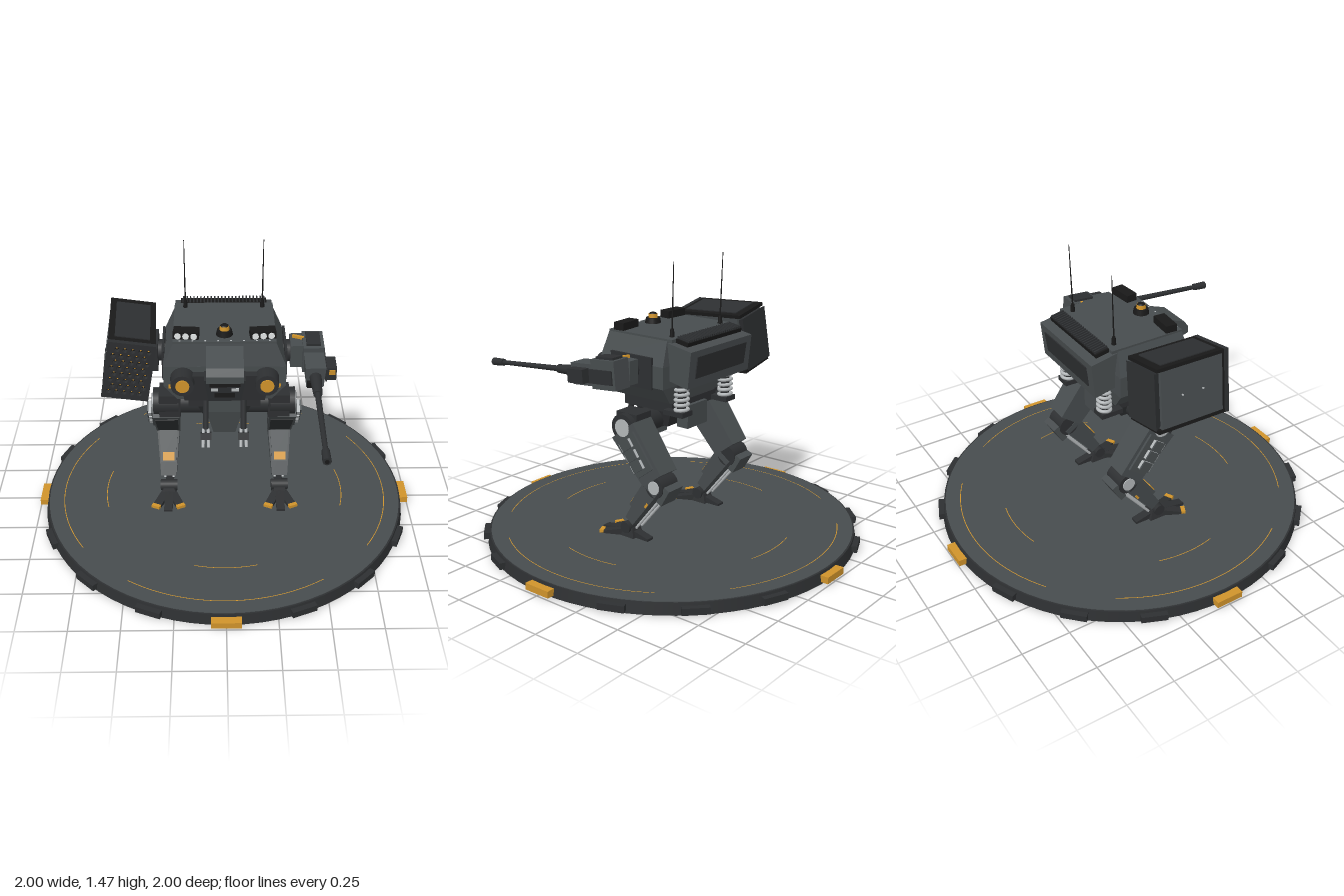
import * as THREE from 'three';

const mat = (name, color) => Object.assign(new THREE.MeshStandardMaterial({ color }), { name });
const M = {
  armour: mat('armour grey', 0x474c4e),
  dark: mat('dark grey', 0x2d2f31),
  black: mat('black', 0x191919),
  gold: mat('gold', 0xcf932b),
  silver: mat('silver', 0xb2b6b8),
  lens: mat('lens white', 0xe4e8e8),
};
const V = (x, y, z) => new THREE.Vector3(x, y, z);

export function createModel() {
  const root = new THREE.Group();
  root.name = 'walker';
  const group = (name, parent, x = 0, y = 0, z = 0) => {
    const g = new THREE.Group();
    g.name = name;
    g.position.set(x, y, z);
    parent.add(g);
    return g;
  };
  const add = (parent, name, geo, m, x = 0, y = 0, z = 0) => {
    const mesh = new THREE.Mesh(geo, m);
    mesh.name = name;
    mesh.position.set(x, y, z);
    parent.add(mesh);
    return mesh;
  };
  const box = (p, name, m, w, h, d, x, y, z) => add(p, name, new THREE.BoxGeometry(w, h, d), m, x, y, z);
  // Box whose bottom rectangle is scaled and shifted along z
  const taper = (p, name, m, w, h, d, x, y, z, sx, sz, shift = 0) => {
    const g = new THREE.BoxGeometry(w, h, d), a = g.attributes.position;
    for (let i = 0; i < a.count; i++) {
      if (a.getY(i) < 0) a.setXYZ(i, a.getX(i) * sx, a.getY(i), a.getZ(i) * sz + shift);
    }
    g.computeVertexNormals();
    return add(p, name, g, m, x, y, z);
  };
  // Side profile of [z, y] points extruded across x
  const prism = (p, name, m, pts, w, x = 0) => {
    const s = new THREE.Shape(pts.map(([a, b]) => new THREE.Vector2(a, b)));
    const g = new THREE.ExtrudeGeometry(s, { depth: w, bevelEnabled: false });
    g.rotateY(-Math.PI / 2).translate(w / 2, 0, 0);
    return add(p, name, g, m, x);
  };
  const cyl = (p, name, m, r0, r1, h, x, y, z, axis = 'y', n = 20) => {
    const g = new THREE.CylinderGeometry(r1, r0, h, n);
    if (axis === 'x') g.rotateZ(-Math.PI / 2);
    if (axis === 'z') g.rotateX(Math.PI / 2);
    return add(p, name, g, m, x, y, z);
  };
  const rod = (p, name, m, a, b, r0, r1 = r0, n = 10) => {
    const d = b.clone().sub(a), mid = a.clone().add(b).multiplyScalar(0.5);
    const mesh = cyl(p, name, m, r0, r1, d.length(), mid.x, mid.y, mid.z, 'y', n);
    mesh.quaternion.setFromUnitVectors(V(0, 1, 0), d.normalize());
    return mesh;
  };

  // Round display base with rim blocks and painted arcs
  const base = group('base', root);
  add(base, 'baseDisc', new THREE.CylinderGeometry(0.958, 0.968, 0.057, 72), [M.dark, M.dark, M.black], 0, 0.0285, 0);
  cyl(base, 'baseFloor', M.armour, 0.95, 0.95, 0.006, 0, 0.057, 0, 'y', 72);
  for (let i = 0; i < 16; i++) {
    const a = i * Math.PI / 8, gold = i % 4 === 0, r = gold ? 0.978 : 0.966;
    box(base, 'rimBlock', gold ? M.gold : M.dark, gold ? 0.145 : 0.13, 0.034, 0.044,
      Math.sin(a) * r, 0.027, Math.cos(a) * r).rotation.y = a;
  }
  for (let i = 0; i < 4; i++) {
    for (const [r, half] of [[0.87, 0.585], [0.64, 0.25]]) {
      const g = new THREE.RingGeometry(r - 0.002, r + 0.002, 30, 1, i * Math.PI / 2 - half, half * 2);
      add(base, 'floorArc', g.rotateX(-Math.PI / 2), M.gold, 0, 0.061, 0);
    }
  }

  // Pelvis
  const pelvis = group('pelvis', root);
  taper(pelvis, 'pelvisBlock', M.dark, 0.3, 0.12, 0.26, 0, 0.67, 0.01, 0.75, 0.55);
  box(pelvis, 'pelvisDeck', M.dark, 0.36, 0.05, 0.31, 0, 0.735, 0.01);
  cyl(pelvis, 'turretRing', M.black, 0.13, 0.13, 0.05, 0, 0.77, 0.01, 'y', 28);
  taper(pelvis, 'groinPlate', M.armour, 0.19, 0.17, 0.06, 0, 0.605, 0.13, 0.6, 0.6, -0.03);
  box(pelvis, 'groinBrow', M.armour, 0.16, 0.07, 0.05, 0, 0.715, 0.145);
  box(pelvis, 'rearTank', M.armour, 0.16, 0.12, 0.07, 0, 0.67, -0.13);
  cyl(pelvis, 'hipAxle', M.dark, 0.062, 0.062, 0.5, 0, 0.65, 0.02, 'x', 24);

  // Legs, mirrored by sign
  for (const s of [-1, 1]) {
    const leg = group(s > 0 ? 'leftLeg' : 'rightLeg', root, s * 0.3, 0, 0);
    box(leg, 'hipHousing', M.dark, 0.11, 0.13, 0.13, s * -0.02, 0.655, 0.02);
    cyl(leg, 'hipDisc', M.dark, 0.07, 0.07, 0.13, 0, 0.65, 0.02, 'x', 24);
    cyl(leg, 'hipCap', M.silver, 0.045, 0.045, 0.006, s * 0.067, 0.65, 0.02, 'x', 24);

    const thigh = group('thigh', leg, 0, 0.65, 0.02);
    thigh.rotation.x = 0.64;
    taper(thigh, 'thighArmour', M.armour, 0.14, 0.29, 0.17, 0, -0.155, 0.005, 0.9, 0.82, -0.01);
    taper(thigh, 'thighFrontPlate', M.dark, 0.12, 0.22, 0.015, 0, -0.16, 0.082, 0.9, 1, -0.02);
    box(thigh, 'thighSidePlate', M.armour, 0.012, 0.21, 0.11, s * 0.074, -0.15, -0.005);
    for (let i = 0; i < 3; i++) {
      box(thigh, 'coolingBar', M.silver, 0.026, 0.045, 0.07, s * 0.084, -0.085 - i * 0.06, 0.01);
      box(thigh, 'coolingBarCover', M.armour, 0.008, 0.05, 0.06, s * 0.1, -0.085 - i * 0.06, 0.005);
    }

    const shin = group('shin', leg, 0, 0.38, -0.175);
    shin.rotation.x = -0.63;
    cyl(shin, 'kneeJoint', M.dark, 0.055, 0.055, 0.12, 0, 0, 0, 'x', 20);
    cyl(shin, 'kneeCap', M.silver, 0.034, 0.034, 0.008, s * 0.062, 0, 0, 'x', 16);
    box(shin, 'kneeGuard', M.armour, 0.11, 0.1, 0.035, 0, 0.0, -0.062).rotation.x = 0.1;
    taper(shin, 'shinBody', M.armour, 0.125, 0.28, 0.095, 0, -0.15, 0.012, 0.66, 0.6);
    taper(shin, 'shinFrontPlate', M.armour, 0.1, 0.19, 0.03, 0, -0.12, 0.052, 0.8, 0.8);
    box(shin, 'shinMarker', M.gold, 0.062, 0.045, 0.008, 0, -0.185, 0.066);
    box(shin, 'shinSideMarker', M.gold, 0.006, 0.03, 0.012, s * 0.054, -0.12, -0.02);
    for (const k of [-1, 1]) {
      rod(shin, 'shinPiston', M.silver, V(k * 0.028, -0.06, -0.05), V(k * 0.022, -0.3, -0.035), 0.007);
    }

    const foot = group('foot', leg, 0, 0.06, 0.03);
    cyl(foot, 'ankleJoint', M.dark, 0.03, 0.03, 0.09, 0, 0.05, 0, 'x', 16);
    taper(foot, 'footBlock', M.dark, 0.06, 0.05, 0.07, 0, 0.025, 0, 1.4, 1.5);
    for (const [a, len] of [[-0.45, 0.15], [0, 0.17], [0.45, 0.15], [Math.PI, 0.13]]) {
      const toe = group('toe', foot);
      toe.rotation.y = a;
      prism(toe, 'toeBody', M.dark, [[0.02, 0], [len, 0], [len, 0.012], [0.04, 0.034], [0.02, 0.034]], 0.045);
      if (Math.abs(a) === 0.45) box(toe, 'toeTip', M.gold, 0.046, 0.016, 0.022, 0, 0.01, len);
    }
  }

  // Hull
  const hull = group('hull', root);
  taper(hull, 'hullUpper', M.armour, 0.5, 0.12, 0.37, 0, 1.035, 0.015, 1.2, 1.08);
  box(hull, 'hullMiddle', M.armour, 0.6, 0.11, 0.4, 0, 0.92, 0.015);
  taper(hull, 'hullLower', M.armour, 0.6, 0.085, 0.4, 0, 0.8225, 0.015, 0.78, 0.94);
  box(hull, 'roofPlate', M.armour, 0.5, 0.016, 0.4, 0, 1.097, 0.0);
  taper(hull, 'frontBelly', M.dark, 0.44, 0.15, 0.06, 0, 0.87, 0.225, 0.9, 0.8, -0.01);
  prism(hull, 'rearBox', M.armour, [[-0.15, 1.09], [-0.315, 1.06], [-0.295, 0.875], [-0.18, 0.9], [-0.15, 0.95]], 0.5);
  prism(hull, 'rearPanel', M.dark, [[-0.314, 1.03], [-0.32, 1.03], [-0.304, 0.92], [-0.298, 0.92]], 0.4);
  const vent = group('roofVent', hull, 0, 1.09, -0.235);
  vent.rotation.x = -0.18;
  box(vent, 'ventBed', M.black, 0.44, 0.02, 0.075, 0, 0, 0);
  for (let i = 0; i < 24; i++) box(vent, 'ventSlat', M.dark, 0.007, 0.02, 0.072, -0.207 + i * 0.018, 0.012, 0);
  for (let i = 0; i < 8; i++) cyl(hull, 'rivet', M.silver, 0.005, 0.005, 0.005, -0.217 + i * 0.062, 1.104, 0.19, 'y', 8);

  // Cockpit
  prism(hull, 'cockpitHood', M.armour, [[0.18, 1.09], [0.33, 1.035], [0.355, 1.0], [0.355, 0.965], [0.3, 0.95], [0.18, 0.95]], 0.18);
  taper(hull, 'cockpitChin', M.dark, 0.2, 0.13, 0.14, 0, 0.885, 0.235, 0.8, 0.8, -0.01);
  box(hull, 'cockpitWindow', M.black, 0.15, 0.03, 0.008, 0, 0.93, 0.303);
  for (const x of [-0.05, 0.05]) box(hull, 'cockpitLamp', M.silver, 0.035, 0.014, 0.008, x, 0.895, 0.299);
  box(hull, 'chinGrille', M.black, 0.1, 0.025, 0.008, 0, 0.86, 0.29);

  for (const s of [-1, 1]) {
    // Round headlamps
    cyl(hull, 'headlampRing', M.dark, 0.062, 0.056, 0.08, s * 0.205, 0.91, 0.25, 'z', 20);
    cyl(hull, 'headlampLens', M.gold, 0.034, 0.034, 0.008, s * 0.205, 0.91, 0.292, 'z', 20);
    box(hull, 'cornerMarker', M.gold, 0.02, 0.02, 0.008, s * 0.265, 0.865, 0.216);
    box(hull, 'sidePlate', M.dark, 0.012, 0.16, 0.26, s * 0.303, 0.935, 0.01);
    // Roof lamp clusters
    const lamps = group('roofLamps', hull, s * 0.185, 1.122, 0.145);
    lamps.rotation.y = s * 0.08;
    box(lamps, 'lampHousing', M.black, 0.125, 0.042, 0.06, 0, 0, 0);
    for (let i = -1; i < 2; i++) cyl(lamps, 'lampLens', M.lens, 0.016, 0.016, 0.008, i * 0.039, 0, 0.031, 'z', 12);
    // Whip antennas
    cyl(hull, 'antennaFoot', M.black, 0.013, 0.009, 0.05, s * 0.195, 1.12, -0.157, 'y', 10);
    rod(hull, 'antenna', M.black, V(s * 0.195, 1.12, -0.156), V(s * 0.197, 1.47, -0.168), 0.0045, 0.002, 6);
    // Rear suspension springs
    cyl(hull, 'springCore', M.dark, 0.022, 0.022, 0.17, s * 0.18, 0.81, -0.205);
    for (let i = 0; i < 5; i++) {
      add(hull, 'springCoil', new THREE.TorusGeometry(0.032, 0.009, 8, 20).rotateX(Math.PI / 2 + 0.1), M.silver, s * 0.18, 0.745 + i * 0.026, -0.205);
    }
    box(hull, 'springMount', M.dark, 0.08, 0.025, 0.12, s * 0.18, 0.725, -0.18);
    // Small chin guns
    rod(hull, 'chinGunBody', M.dark, V(s * 0.095, 0.79, 0.16), V(s * 0.095, 0.61, 0.215), 0.015);
    for (const k of [-1, 1]) rod(hull, 'chinGunBarrel', M.silver, V(s * 0.095 + k * 0.012, 0.61, 0.215), V(s * 0.095 + k * 0.014, 0.525, 0.258), 0.008);
    box(hull, 'chinGunClamp', M.dark, 0.055, 0.035, 0.035, s * 0.095, 0.575, 0.23).rotation.x = -0.4;
  }

  // Roof beacon
  cyl(hull, 'beaconBase', M.black, 0.042, 0.036, 0.03, 0, 1.117, 0.125);
  cyl(hull, 'beaconLamp', M.gold, 0.025, 0.022, 0.022, 0, 1.141, 0.125);
  cyl(hull, 'beaconCap', M.black, 0.022, 0.016, 0.006, 0, 1.154, 0.125);

  // Missile pod on the right shoulder
  cyl(root, 'podAxle', M.dark, 0.055, 0.055, 0.12, -0.335, 0.945, 0.0, 'x', 16);
  box(root, 'podMount', M.dark, 0.03, 0.13, 0.2, -0.345, 0.945, 0.0);
  const pod = group('missilePod', root, -0.475, 0.97, 0.025);
  pod.rotation.set(0.05, 0.04, -0.165);
  box(pod, 'podBody', M.armour, 0.224, 0.29, 0.36, 0, 0, 0);
  for (const s of [-1, 1]) box(pod, 'podLid', M.black, 0.228, 0.018, 0.4, 0, s * 0.153, 0.0);
  box(pod, 'podRoofPlate', M.dark, 0.17, 0.006, 0.32, 0, 0.164, 0);
  taper(pod, 'podRear', M.dark, 0.19, 0.035, 0.26, 0, 0, -0.196, 1.15, 1.1).rotation.x = Math.PI / 2;
  box(pod, 'podBack', M.black, 0.226, 0.31, 0.012, 0, 0, 0.183);
  for (const z of [-0.06, 0.06]) cyl(pod, 'podBolt', M.silver, 0.005, 0.005, 0.006, -0.114, 0, z, 'x', 8);
  const face = new THREE.Shape([[-0.116, -0.162], [0.116, -0.162], [0.116, 0.162], [-0.116, 0.162]].map(p => new THREE.Vector2(...p)));
  for (let r = 0; r < 8; r++) {
    for (let c = 0; c < 5; c++) {
      const x = -0.084 + c * 0.038 + (r % 2) * 0.016, y = -0.123 + r * 0.035;
      face.holes.push(new THREE.Path().absarc(x, y, 0.0135, 0, Math.PI * 2, true));
      add(pod, 'missileTip', new THREE.ConeGeometry(0.007, 0.014, 8).rotateX(Math.PI / 2), M.gold, x, y, 0.196);
    }
  }
  add(pod, 'podFace', new THREE.ExtrudeGeometry(face, { depth: 0.024, bevelEnabled: false, curveSegments: 4 }), M.dark, 0, 0, 0.188);

  // Cannon arm on the left shoulder
  const arm = group('cannonArm', root);
  cyl(arm, 'shoulderJoint', M.dark, 0.055, 0.055, 0.12, 0.345, 0.945, 0.01, 'x', 16);
  box(arm, 'shoulderBlock', M.armour, 0.06, 0.12, 0.13, 0.36, 0.945, 0.01);
  box(arm, 'shoulderStrut', M.gold, 0.06, 0.014, 0.014, 0.37, 1.015, 0.0).rotation.y = -0.4;
  const gun = group('cannon', arm, 0.442, 0.942, 0.0);
  gun.rotation.x = 0.083;
  box(gun, 'cannonHousing', M.armour, 0.105, 0.145, 0.15, 0, 0.005, 0.025);
  taper(gun, 'cannonReceiver', M.armour, 0.1, 0.11, 0.14, 0, -0.003, 0.165, 0.85, 1);
  box(gun, 'cannonSidePlate', M.dark, 0.008, 0.07, 0.25, 0.056, -0.005, 0.09);
  box(gun, 'cannonTopPlate', M.dark, 0.07, 0.012, 0.11, 0, 0.083, 0.025);
  box(gun, 'ammoBox', M.dark, 0.048, 0.07, 0.1, 0.081, 0.0, 0.16);
  box(gun, 'ammoMarker', M.gold, 0.03, 0.025, 0.006, 0.083, 0.012, 0.212);
  box(gun, 'rangeFinder', M.black, 0.03, 0.03, 0.03, -0.025, -0.035, 0.24);
  cyl(gun, 'barrelSleeve', M.dark, 0.03, 0.022, 0.14, 0, 0, 0.3, 'z', 12);
  cyl(gun, 'barrel', M.dark, 0.015, 0.012, 0.45, 0, 0, 0.57, 'z', 12);
  cyl(gun, 'muzzleBrake', M.dark, 0.019, 0.021, 0.075, 0, 0, 0.815, 'z', 8);
  cyl(gun, 'muzzleBore', M.black, 0.011, 0.011, 0.004, 0, 0, 0.853, 'z', 10);

  return root;
}
